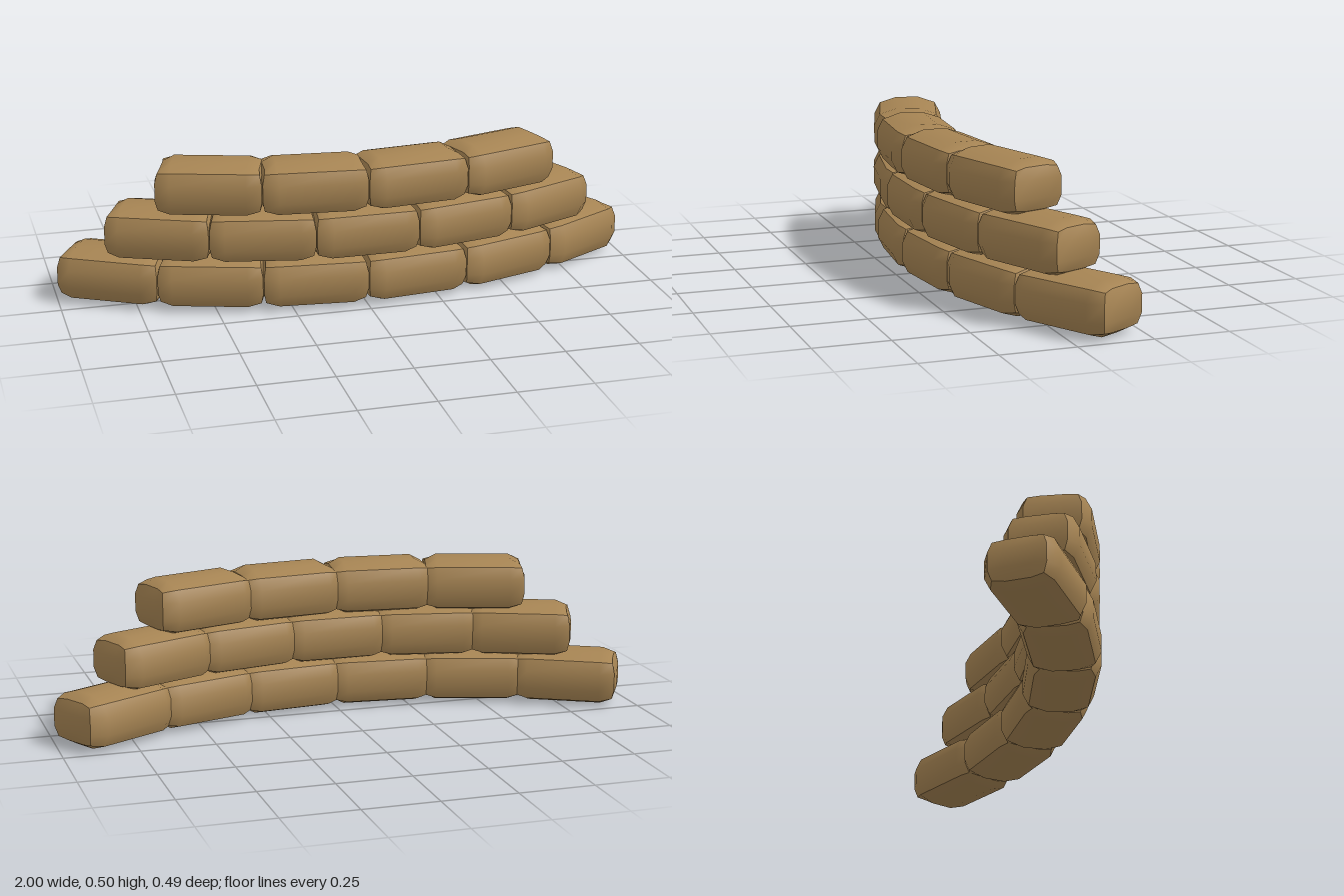
import * as THREE from 'three';

// Coordinates of a bag's grid points [x, y, z], by how many of the three
// directions reach the outside: face, edge and corner points.
const INNER = [0.125, 0.03, 0.04];
const FACE = [0.18, 0.09, 0.12];
const EDGE_XZ = [0.175, 0, 0.0925];
const EDGE_XY = [0.163, 0.069, 0];
const EDGE_YZ = [0, 0.07, 0.1];
const CORNER = [0.168, 0.063, 0.081];

// A box of 3 x 3 x 3 cells, puffed up; the twelve box edges stay sharp.
function bagGeometry() {
  const geometry = new THREE.BoxGeometry(2, 2, 2, 3, 3, 3);
  const pos = geometry.attributes.position;
  for (let i = 0; i < pos.count; i++) {
    const p = [pos.getX(i), pos.getY(i), pos.getZ(i)];
    const out = p.map((v) => Math.abs(v) > 0.9);
    const n = out.filter(Boolean).length;
    let outer = FACE;
    if (n === 3) outer = CORNER;
    else if (n === 2) outer = !out[0] ? EDGE_YZ : !out[1] ? EDGE_XZ : EDGE_XY;
    const q = p.map((v, k) => Math.sign(v) * (out[k] ? outer[k] : INNER[k]));
    pos.setXYZ(i, ...q);
  }
  geometry.computeVertexNormals();
  return geometry;
}

export function createModel() {
  const model = new THREE.Group();
  model.name = 'sandbagWall';
  const material = new THREE.MeshStandardMaterial({ color: 0xa68453 });
  const geometry = bagGeometry();

  const radius = 1.67; // curve of the wall
  const step = 0.2; // angle from one bag to the next
  const frontZ = 0.122; // middle of the wall

  // Three courses of six, five and four bags, laid in a broken bond
  [6, 5, 4].forEach((count, row) => {
    const course = new THREE.Group();
    course.name = `course${row + 1}`;
    for (let i = 0; i < count; i++) {
      const angle = (i - (count - 1) / 2) * step;
      const bag = new THREE.Mesh(geometry, material);
      bag.name = 'sandbag';
      bag.position.set(
        radius * Math.sin(angle),
        0.09 + row * 0.161,
        frontZ - radius * (1 - Math.cos(angle))
      );
      bag.rotation.y = angle;
      course.add(bag);
    }
    model.add(course);
  });
  return model;
}
